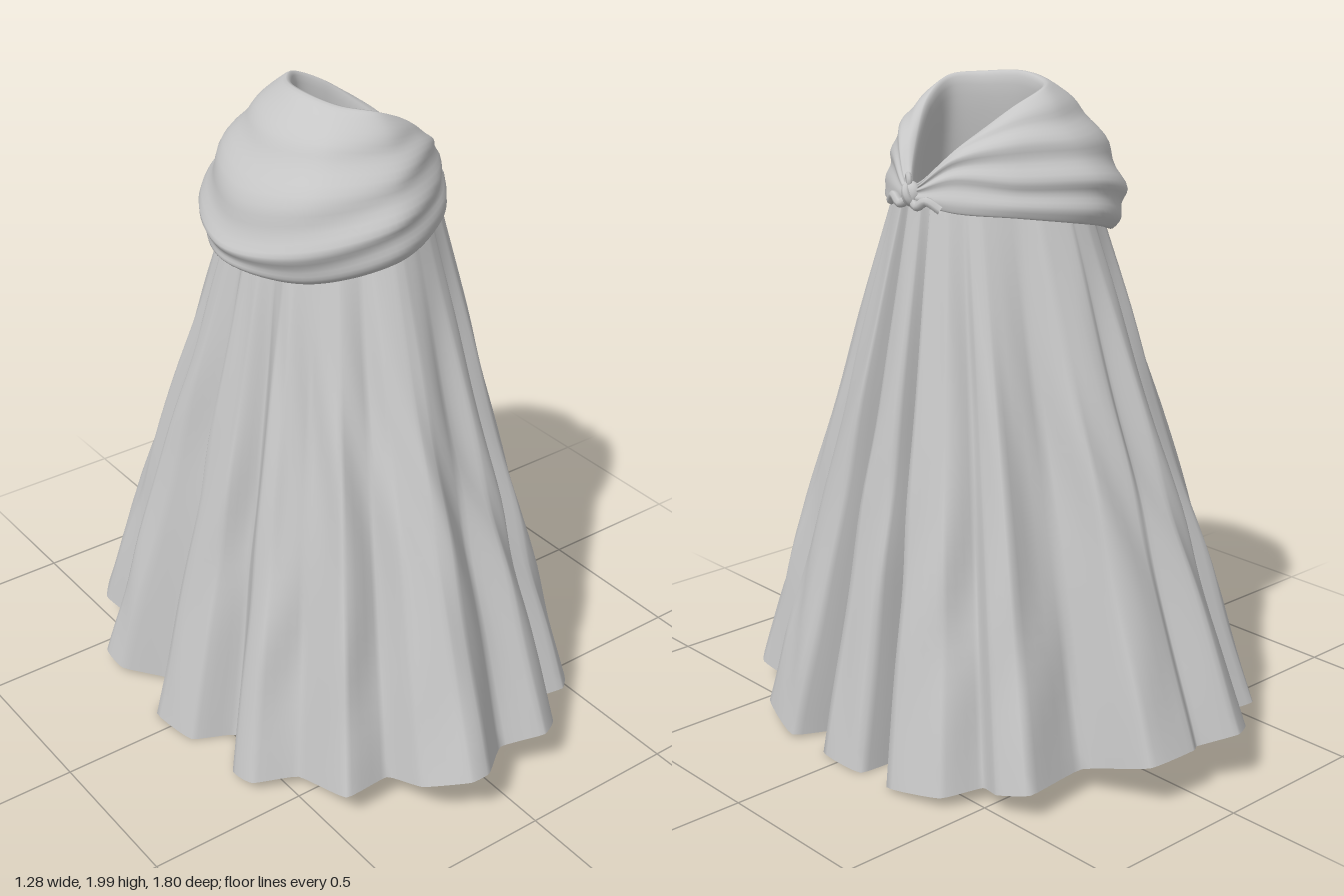
import * as THREE from 'three';

const cloth = new THREE.MeshStandardMaterial({ color: 0xc6c6c6, side: THREE.DoubleSide });
cloth.name = 'grey cloth';

// Hem outline as [x, z]: crests and valleys of the pleats
const HEM = [
  [.63, -.1], [.63, .08], [.44, .13], [.64, .22], [.58, .42], [.46, .45], [.47, .6], [.4, .67],
  [.25, .64], [.24, .8], [.16, .85], [.03, .8], [-.1, .9], [-.17, .9], [-.27, .8], [-.3, .67],
  [-.45, .67], [-.48, .47], [-.6, .4], [-.61, .31], [-.5, .16], [-.62, .09], [-.64, -.08], [-.5, -.17],
  [-.62, -.32], [-.62, -.42], [-.48, -.5], [-.5, -.62], [-.42, -.71], [-.26, -.68], [-.22, -.85], [-.13, -.9],
  [-.02, -.84], [.02, -.86], [.18, -.84], [.24, -.63], [.46, -.65], [.5, -.55], [.48, -.47], [.6, -.42],
  [.64, -.23], [.44, -.12],
];

// Half rings of the cowl as [x, y, z], from the knot round to the back
const COWL = [
  [[.27, 1.63, .02], [.19, 1.63, .12], [.1, 1.62, .19], [0, 1.6, .21], [-.11, 1.58, .14], [-.15, 1.57, 0]],      // lining
  [[.31, 1.72, .01], [.2, 1.84, .11], [.1, 1.93, .175], [0, 1.98, .195], [-.07, 1.99, .12], [-.1, 2, 0]],        // rim
  [[.32, 1.71, .015], [.26, 1.81, .12], [.14, 1.87, .235], [-.01, 1.88, .285], [-.18, 1.89, .2], [-.25, 1.88, 0]], // shoulder
  [[.33, 1.7, .02], [.28, 1.74, .13], [.16, 1.73, .28], [-.06, 1.72, .375], [-.29, 1.66, .25], [-.385, 1.62, 0]], // widest
  [[.33, 1.67, .02], [.29, 1.65, .14], [.17, 1.64, .28], [-.05, 1.605, .368], [-.26, 1.545, .23], [-.37, 1.55, 0]], // lower edge
  [[.29, 1.68, .02], [.23, 1.68, .11], [.13, 1.67, .22], [-.04, 1.63, .29], [-.2, 1.59, .19], [-.27, 1.58, 0]],  // tuck
];

const v3 = (p) => new THREE.Vector3(...p);

// Skin over rows of points, each row a closed loop
function loft(rows) {
  const n = rows[0].length, index = [];
  for (let j = 0; j < rows.length - 1; j++) {
    for (let i = 0; i < n; i++) {
      const a = j * n + i, b = j * n + (i + 1) % n;
      index.push(a, b, a + n, b, b + n, a + n);
    }
  }
  const g = new THREE.BufferGeometry().setFromPoints(rows.flat());
  g.setIndex(index);
  g.computeVertexNormals();
  return g;
}

function add(parent, name, geometry) {
  const mesh = new THREE.Mesh(geometry, cloth);
  mesh.name = name;
  parent.add(mesh);
  return mesh;
}

// Low tension keeps the pleats angular
function sampleLoop(points, n, type, tension) {
  const curve = new THREE.CatmullRomCurve3(points, true, type, tension);
  return Array.from({ length: n }, (_, i) => curve.getPoint(i / n));
}

// Hem rises towards both wide sides
const hemY = (z) => .01 + .165 * (z / .9) ** 2;

function buildSkirt(group) {
  const hemPoints = HEM.map(([x, z]) => new THREE.Vector3(x, hemY(z), z));
  const hem = sampleLoop(hemPoints, HEM.length * 5, 'catmullrom', .2);
  // Waist narrows towards the knot so that it stays under the cowl
  const top = hem.map(({ x, z }) => {
    const a = Math.atan2(z / .82, x / .6), c = Math.cos(a);
    const k = 1 + .2 * (Math.hypot(x / .6, z / .82) - 1);
    return new THREE.Vector3(.025 + .285 * k * c, 1.66, .33 * k * Math.sin(a) * (1 - .28 * Math.max(0, c)));
  });
  const rows = [];
  const steps = 28;
  for (let j = 0; j <= steps; j++) {
    const t = j / steps;
    rows.push(hem.map((h, i) => {
      const p = top[i].clone().lerp(h, t);
      // Soft creases that wander down the pleats
      const a = Math.atan2(p.z, p.x);
      const w = 1 + .014 * Math.sin(Math.PI * t) * Math.sin(a * 23 + 3 * Math.sin(t * 6 + a * 2));
      p.x *= w;
      p.z *= w;
      return p;
    }));
  }
  add(group, 'pleatedSkirt', loft(rows));

  // Turned-under hem and the base inside it, with shallower scallops
  const inner = hem.map(({ x, z }) => {
    const a = Math.atan2(z / .82, x / .6);
    const ix = .5 * x * .72 + .5 * .43 * Math.cos(a);
    const iz = .5 * z * .72 + .5 * .59 * Math.sin(a);
    return new THREE.Vector3(ix, hemY(iz) + .045, iz);
  });
  add(group, 'hemUnderside', loft([hem, inner]));
  const fill = [1, .66, .33, 0].map((s) => inner.map((p) =>
    new THREE.Vector3(p.x * s, .06 + (p.y - .06) * s * s, p.z * s)));
  add(group, 'base', loft(fill));
}

function buildCowl(group) {
  const n = 112, sub = 10;
  const rings = COWL.map((half) => {
    const back = half.slice(0, -1).reverse().map(([x, y, z]) => [x, y, -z]);
    return sampleLoop([...half, ...back].map(v3), n, 'centripetal');
  });
  const columns = Array.from({ length: n }, (_, i) =>
    new THREE.CatmullRomCurve3(rings.map((r) => r[i]), false, 'centripetal'));
  const count = (rings.length - 1) * sub;
  const rows = [];
  for (let j = 0; j <= count; j++) {
    const v = j / count;
    rows.push(columns.map((curve, i) => {
      const p = curve.getPoint(v);
      // Folds gather towards the knot and fade at the rim and lower edge
      const u = i / n * Math.PI * 2;
      const outer = Math.sin(Math.PI * THREE.MathUtils.clamp((v - .2) / .6, 0, 1));
      const fold = .03 * outer * (.5 - .5 * Math.cos(u)) ** .4
        * Math.sin(v * 46 + 1.6 * Math.cos(u) + Math.sin(2 * u));
      p.x += (p.x + .03) * fold;
      p.z *= 1 + fold;
      return p;
    }));
  }
  add(group, 'cowl', loft(rows));
}

function buildKnot(group) {
  const knot = new THREE.Group();
  knot.name = 'knot';
  knot.position.set(.322, 1.69, 0);
  group.add(knot);
  add(knot, 'knotCore', new THREE.SphereGeometry(.034, 14, 10)).scale.set(.8, 1.1, 1);
  const wrap = add(knot, 'knotWrap', new THREE.TorusGeometry(.027, .012, 8, 18));
  wrap.rotation.set(.4, .3, 0);
  for (const s of [-1, 1]) {
    const path = new THREE.CatmullRomCurve3([
      [0, 0, 0], [.012, -.03, .035 * s], [.005, -.012, .07 * s], [-.015, -.035, .11 * s],
    ].map(v3));
    add(knot, s > 0 ? 'leftTie' : 'rightTie', new THREE.TubeGeometry(path, 14, .014, 7));
  }
  const loop = add(knot, 'knotLoop', new THREE.TorusGeometry(.018, .009, 7, 14));
  loop.position.set(0, .035, .012);
  loop.rotation.y = 1;
}

export function createModel() {
  const group = new THREE.Group();
  group.name = 'cloak';
  buildSkirt(group);
  buildCowl(group);
  buildKnot(group);
  return group;
}
